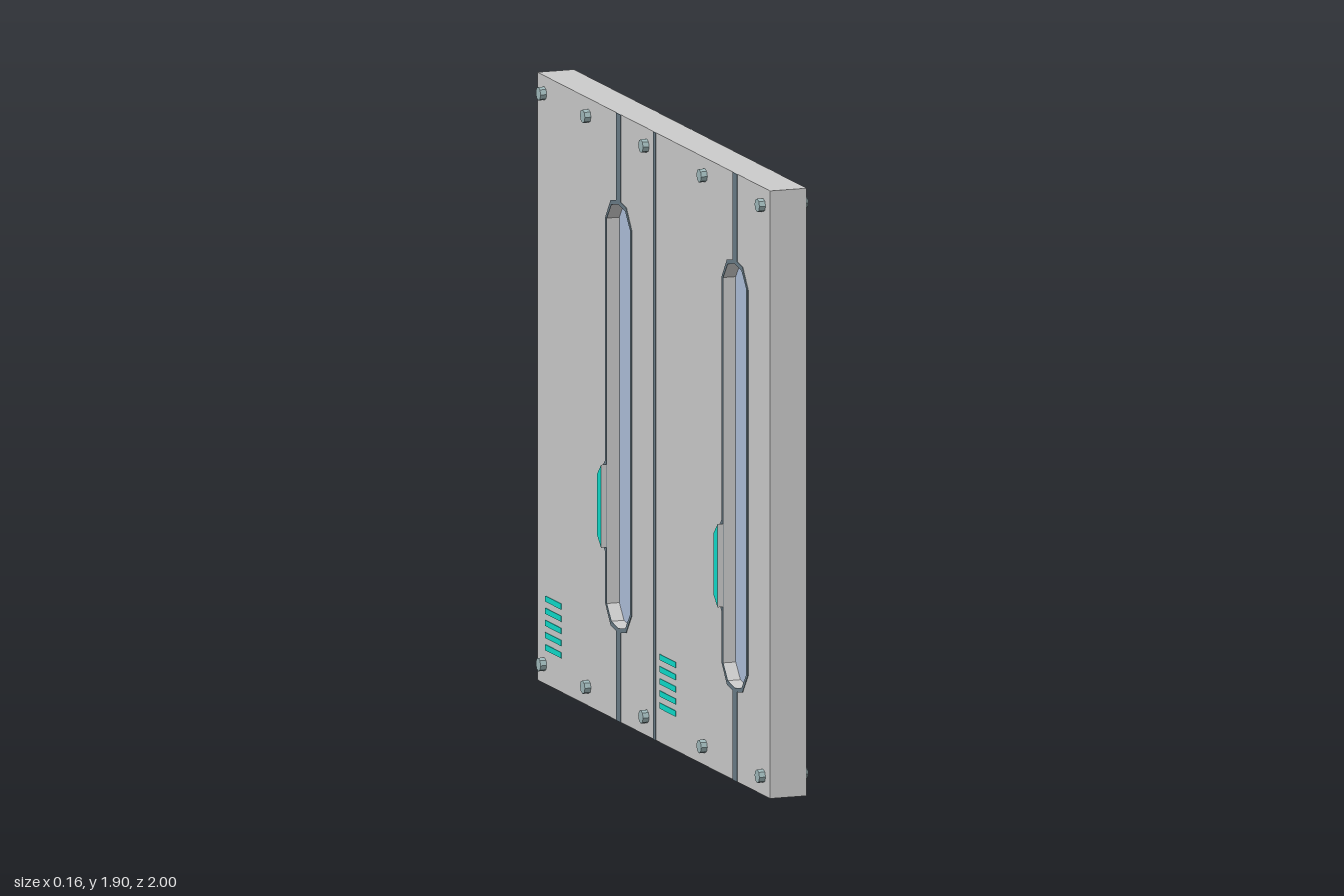
import * as THREE from 'three';

const paint = (color) => new THREE.MeshStandardMaterial({ color, flatShading: true });

const HALF = 0.06;            // half the panel thickness
const WINDOWS = [0.7, -0.3];  // z of each window's centre line

// Outlines are drawn as (z, y) pairs
const toPoints = (pairs) => pairs.map(([z, y]) => new THREE.Vector2(z, y));
const rectangle = (z, y, w, h) => new THREE.Shape(toPoints([
  [z - w / 2, y - h / 2], [z + w / 2, y - h / 2], [z + w / 2, y + h / 2], [z - w / 2, y + h / 2],
]));

// Upright slot with faceted ends; `grow` widens it, `bump` is added on the -z side
function slot(zc, grow, bump = []) {
  const r = 0.1 + grow, cut = 0.06 + grow * 0.5;
  const low = 0.35, high = 1.555;
  return toPoints([
    [r, low], [r, high], [cut, 1.605 + grow], [0, 1.617 + grow], [-cut, 1.605 + grow], [-r, high],
    ...bump,
    [-r, low], [-cut, 0.302 - grow], [0, 0.29 - grow], [cut, 0.302 - grow],
  ].map(([z, y]) => [z + zc, y]));
}

export function createModel() {
  const group = new THREE.Group();
  const grey = paint(0xcccccc);
  const slate = paint(0x6a7c87);
  const teal = paint(0x0fdccb);
  const glass = paint(0xaebfda);
  const steel = paint(0x9fb8ba);

  // Extrudes a (z, y) shape along x between x0 and x1
  function slab(name, shape, x0, x1, material) {
    const geometry = new THREE.ExtrudeGeometry(shape, { depth: Math.abs(x1 - x0), bevelEnabled: false });
    geometry.rotateY(-Math.PI / 2);
    geometry.translate(Math.max(x0, x1), 0, 0);
    const mesh = new THREE.Mesh(geometry, material);
    mesh.name = name;
    group.add(mesh);
  }

  // Wall panel with two slots cut through it
  const wall = rectangle(0, 0.95, 2, 1.9);
  for (const z of WINDOWS) wall.holes.push(new THREE.Path(slot(z, 0)));
  slab('panel', wall, -HALF, HALF, grey);

  // Glass set deep in each slot
  for (const z of WINDOWS) slab('windowGlass', new THREE.Shape(slot(z, 0)), -0.02, 0.02, glass);

  // Everything on the two broad faces is mirrored
  for (const side of [1, -1]) {
    const face = side * HALF, proud = side * (HALF + 0.002);

    for (const z of WINDOWS) {
      // Dark trim around the slot and its handle
      const trim = new THREE.Shape(slot(z, 0.013,
        [[-0.113, 0.795], [-0.15, 0.76], [-0.15, 0.55], [-0.113, 0.51]]));
      trim.holes.push(new THREE.Path(slot(z, 0)));
      slab('windowTrim', trim, face, proud, slate);

      // Raised handle with a coloured face
      const handle = new THREE.Shape(toPoints([
        [z - 0.1, 0.525], [z - 0.1, 0.785], [z - 0.135, 0.75], [z - 0.135, 0.56],
      ]));
      slab('handle', handle, face, side * 0.08, [teal, grey]);

      // Door seams above and below the slot
      slab('upperSeam', rectangle(z, 1.761, 0.04, 0.278), face, proud, slate);
      slab('lowerSeam', rectangle(z, 0.142, 0.04, 0.284), face, proud, slate);
    }

    // Seam between the two doors
    slab('centreSeam', rectangle(0.01, 0.95, 0.02, 1.9), face, proud, slate);

    // Vent slits
    for (const z of [0.122, -0.86]) {
      for (let i = 0; i < 5; i++) {
        slab('ventSlit', rectangle(z, 0.115 + i * 0.038, 0.138, 0.018), face, proud, teal);
      }
    }

    // Bolts along the top and bottom edges
    for (const z of [0.94, 0.44, -0.06, -0.56, -0.94]) {
      for (const y of [0.06, 1.845]) {
        const bolt = new THREE.Mesh(new THREE.CylinderGeometry(0.021, 0.021, 0.02, 8), steel);
        bolt.name = 'bolt';
        bolt.rotation.z = Math.PI / 2;
        bolt.position.set(side * 0.07, y, z);
        group.add(bolt);
      }
    }
  }
  return group;
}
